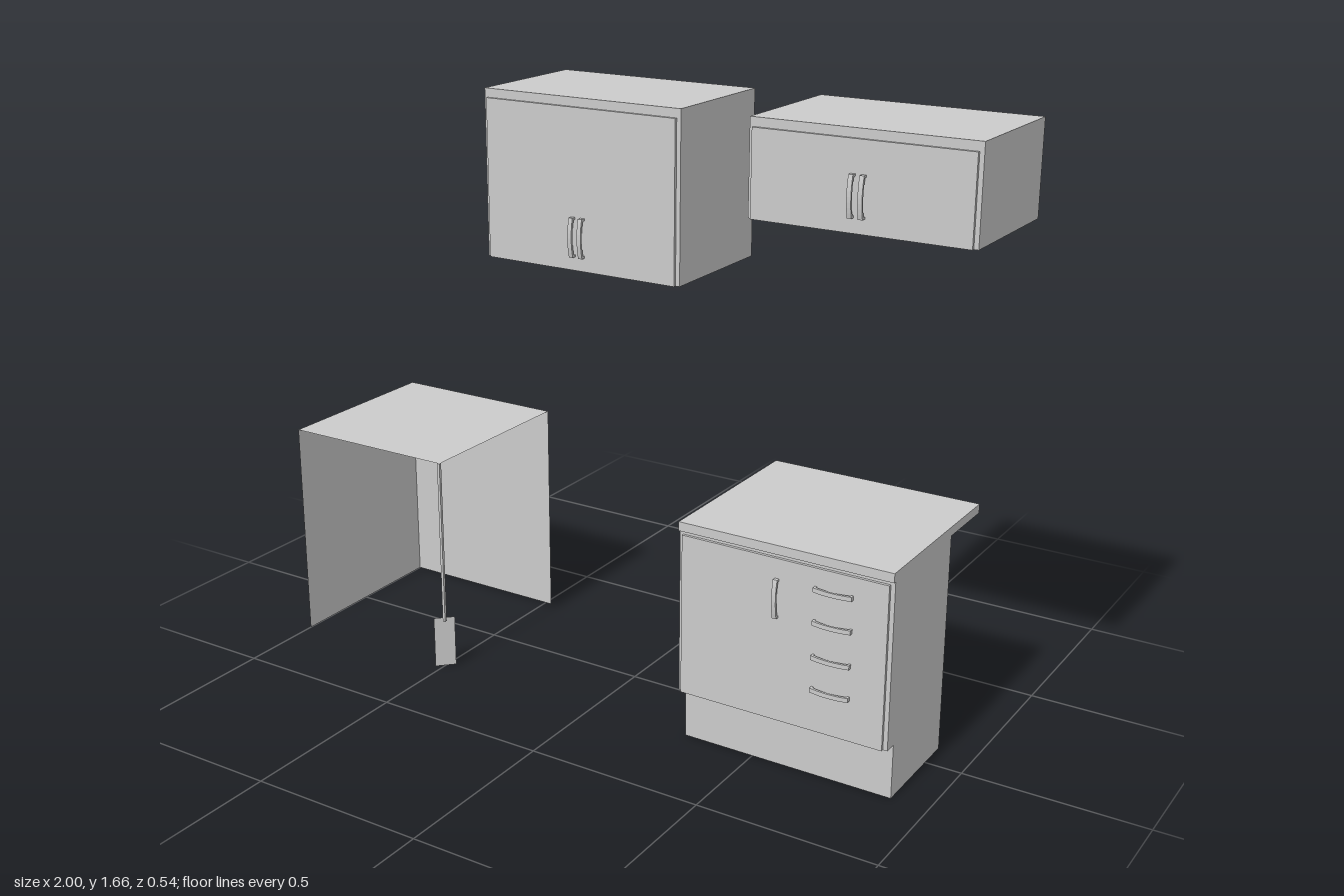
import * as THREE from 'three';

const grey = new THREE.MeshStandardMaterial({ color: 0xcccccc, flatShading: true });
const thin = new THREE.MeshStandardMaterial({ color: 0xcccccc, flatShading: true, side: THREE.DoubleSide });
const SIDES = ['right', 'left', 'top', 'bottom', 'front', 'back'];

function add(parent, name, geometry, material = grey) {
  const mesh = new THREE.Mesh(geometry, material);
  mesh.name = name;
  parent.add(mesh);
  return mesh;
}

function group(parent, name) {
  const g = new THREE.Group();
  g.name = name;
  parent.add(g);
  return g;
}

// Box given by its ranges [min, max] on each axis
function boxGeometry(x, y, z) {
  return new THREE.BoxGeometry(x[1] - x[0], y[1] - y[0], z[1] - z[0])
    .translate((x[0] + x[1]) / 2, (y[0] + y[1]) / 2, (z[0] + z[1]) / 2);
}

// Thin-walled box that keeps only the listed sides
function shell(parent, name, x, y, z, keep) {
  const geometry = boxGeometry(x, y, z);
  const all = Array.from(geometry.index.array);
  geometry.setIndex(keep.flatMap((s) => {
    const i = SIDES.indexOf(s) * 6;
    return all.slice(i, i + 6);
  }));
  geometry.clearGroups();
  return add(parent, name, geometry, thin);
}

// Bow handle: two short feet joined by a curved grip
function handle(parent, x, y, z, vertical) {
  const h = 0.053, t = 0.006, w = 0.012, foot = 0.013, bow = 0.026;
  const s = new THREE.Shape();
  s.moveTo(-h, -0.012);
  s.lineTo(-h, foot);
  s.quadraticCurveTo(0, bow, h, foot);
  s.lineTo(h, -0.012);
  s.lineTo(h - t, -0.012);
  s.lineTo(h - t, foot - t);
  s.quadraticCurveTo(0, bow - t, -h + t, foot - t);
  s.lineTo(-h + t, -0.012);
  const geometry = new THREE.ExtrudeGeometry(s, { depth: w, bevelEnabled: false, curveSegments: 8 });
  geometry.translate(0, 0, -w / 2);
  if (vertical) {
    geometry.applyMatrix4(new THREE.Matrix4().makeBasis(
      new THREE.Vector3(0, 1, 0), new THREE.Vector3(0, 0, 1), new THREE.Vector3(1, 0, 0)));
  } else {
    geometry.rotateX(Math.PI / 2);
  }
  add(parent, 'handle', geometry).position.set(x, y, z);
}

// Wall cabinet: open underneath, with a door standing proud of the front
function wallCabinet(parent, name, x, y, handleY) {
  const g = group(parent, name);
  shell(g, 'cabinetBody', x, y, [-0.27, 0.107], ['right', 'left', 'top', 'front', 'back']);
  add(g, 'door', boxGeometry([x[0] + 0.01, x[1] - 0.012], [y[0], y[1] - 0.024], [0.1, 0.115]));
  const middle = (x[0] + x[1]) / 2 - 0.004;
  for (const side of [-1, 1]) handle(g, middle + side * 0.0145, handleY, 0.115, true);
}

function baseCabinet(parent) {
  const g = group(parent, 'baseCabinet');
  const x = [0.295, 0.898], walls = ['right', 'left', 'front', 'back'];
  shell(g, 'cabinetBody', x, [0.152, 0.61], [-0.088, 0.247], walls);
  shell(g, 'plinth', x, [0, 0.152], [-0.088, 0.211], walls);
  shell(g, 'plinthRecess', x, [0.152, 0.16], [0.211, 0.247], ['bottom']);
  // Worktop overhangs at the back
  add(g, 'worktop', boxGeometry(x, [0.61, 0.635], [-0.27, 0.255]));
  add(g, 'door', boxGeometry([x[0] + 0.01, x[1] - 0.012], [0.152, 0.6], [0.24, 0.255]));
  handle(g, 0.582, 0.493, 0.253, true);
  for (const y of [0.545, 0.455, 0.36, 0.27]) handle(g, 0.74, y, 0.253, false);
}

// Open corner unit: top, back and outer side, with a slim front post
function cornerCabinet(parent) {
  const g = group(parent, 'cornerCabinet');
  shell(g, 'cornerShell', [-1, -0.48], [0, 0.635], [-0.27, 0.255], ['left', 'top', 'back']);
  add(g, 'cornerPost', boxGeometry([-0.488, -0.48], [0.152, 0.634], [0.247, 0.255]));
  // Diagonal plinth piece below the post
  const plinth = add(g, 'cornerPlinth', new THREE.PlaneGeometry(0.06, 0.152), thin);
  plinth.position.set(-0.5, 0.076, 0.233);
  plinth.rotation.y = Math.PI / 4;
}

export function createModel() {
  const model = new THREE.Group();
  model.name = 'kitchenCabinets';
  wallCabinet(model, 'tallWallCabinet', [-0.4, 0.203], [1.208, 1.662], 1.298);
  wallCabinet(model, 'shortWallCabinet', [0.397, 1], [1.411, 1.662], 1.502);
  baseCabinet(model);
  cornerCabinet(model);
  return model;
}
